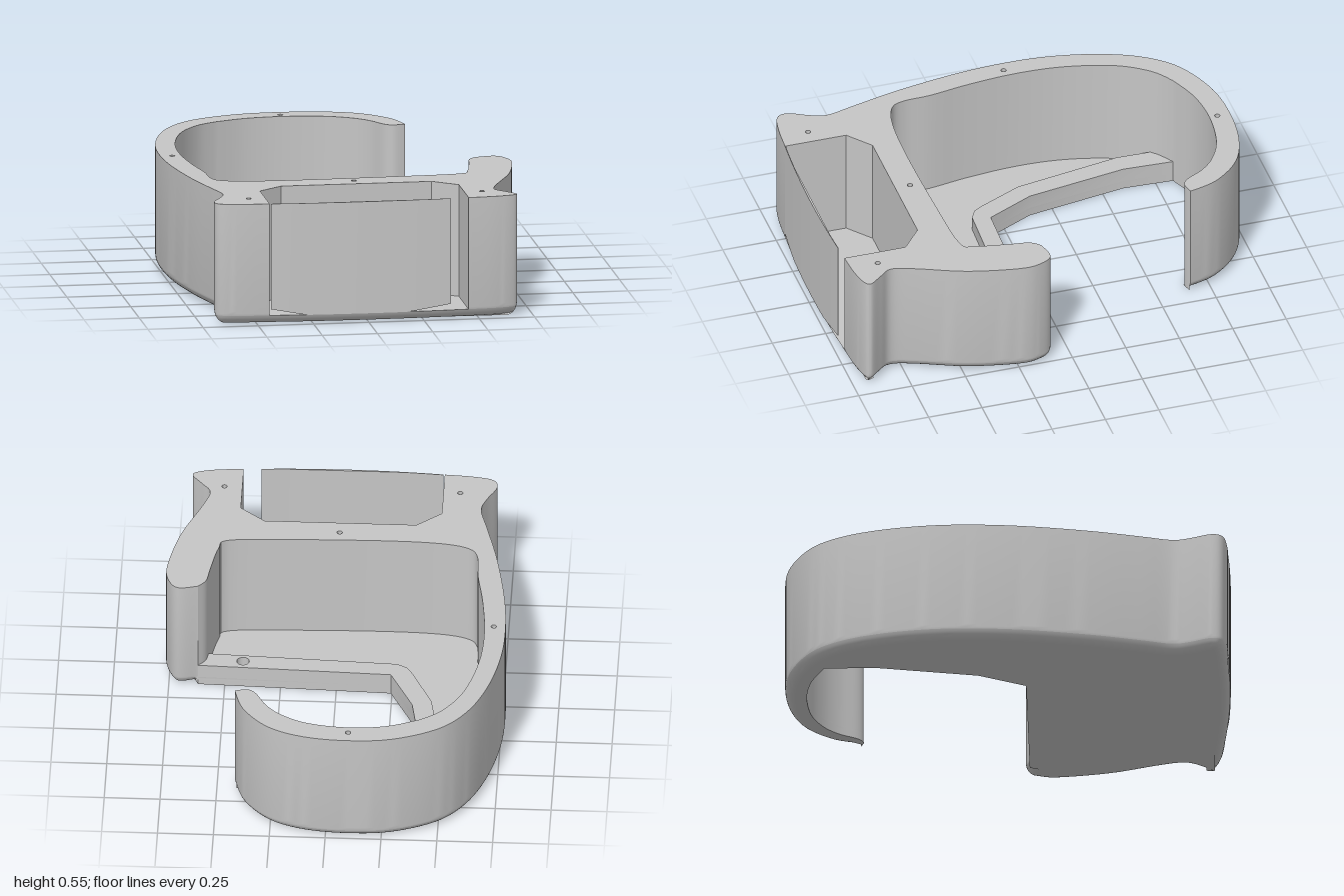
import * as THREE from 'three';
import { toCreasedNormals } from 'three/addons/utils/BufferGeometryUtils.js';

const HEIGHT = 0.55, FLOOR = 0.04, FILLET = 0.06;

// Plan points are given as x, z pairs and kept as (x, -z)
const plan = (...n) => {
  const out = [];
  for (let i = 0; i < n.length; i += 2) out.push(new THREE.Vector2(n[i], -n[i + 1]));
  return out;
};
const smooth = (pts, steps = 5) => new THREE.SplineCurve(pts).getPoints((pts.length - 1) * steps);
const circle = (x, z, r, n = 16) => Array.from({ length: n }, (_, i) => {
  const a = -i / n * Math.PI * 2;
  return new THREE.Vector2(x + r * Math.cos(a), -z + r * Math.sin(a));
});

// How far the rounded bottom edge is drawn in at height y
const draw = y => y >= FILLET ? 0 : FILLET - Math.sqrt(FILLET ** 2 - (FILLET - y) ** 2);

// Solid from a counterclockwise plan; points with an inward vector follow the fillet
function loft(points, levels, holes = []) {
  const pos = [];
  const rings = levels.map(y => points.map(p => {
    const d = p.inward ? draw(y) : 0;
    return new THREE.Vector3(p.x + (d ? p.inward.x * d : 0), p.y + (d ? p.inward.y * d : 0), y);
  }));
  const tri = (a, b, c) => pos.push(...a, ...b, ...c);
  for (let k = 0; k < rings.length - 1; k++) {
    points.forEach((_, i) => {
      const j = (i + 1) % points.length, lo = rings[k], hi = rings[k + 1];
      tri(lo[i], lo[j], hi[j]);
      tri(lo[i], hi[j], hi[i]);
    });
  }
  const cap = (ring, y, cut, up) => {
    const flat = ring.map(v => new THREE.Vector2(v.x, v.y));
    const all = [...flat, ...cut.flat()].map(v => new THREE.Vector3(v.x, v.y, y));
    for (const [a, b, c] of THREE.ShapeUtils.triangulateShape(flat, cut)) {
      const A = all[a], B = all[b], C = all[c];
      const ccw = (B.x - A.x) * (C.y - A.y) - (B.y - A.y) * (C.x - A.x) > 0;
      if (ccw === up) tri(A, B, C); else tri(A, C, B);
    }
  };
  cap(rings[0], levels[0], [], false);
  cap(rings.at(-1), levels.at(-1), holes, true);
  const geo = new THREE.BufferGeometry();
  geo.setAttribute('position', new THREE.Float32BufferAttribute(pos, 3));
  geo.rotateX(-Math.PI / 2);
  return toCreasedNormals(geo, 0.5);
}

export function createModel() {
  const group = new THREE.Group();
  const grey = new THREE.MeshStandardMaterial({ color: 0xc6c6c6, side: THREE.DoubleSide });
  grey.name = 'light grey plastic';
  const add = (name, geo) => {
    const mesh = new THREE.Mesh(geo, grey);
    mesh.name = name;
    group.add(mesh);
    return mesh;
  };

  // Outer outline: hook tip, round the back and right side, front, left side
  const hookSide = smooth(plan(0.42, -0.655, 0.375, -0.79, 0.26, -0.915, 0.1, -0.98, -0.1, -1,
    -0.3, -0.98, -0.5, -0.895, -0.62, -0.77, -0.7, -0.6, -0.75, -0.4, -0.768, -0.2, -0.757, 0.05,
    -0.71, 0.35, -0.655, 0.58, -0.62, 0.72, -0.64, 0.8, -0.683, 0.89, -0.665, 0.945, -0.57, 0.967,
    -0.445, 0.976));
  const front = smooth(plan(-0.445, 0.976, -0.25, 0.988, 0, 0.993, 0.25, 0.988, 0.455, 0.976)).slice(1, -1);
  const shortSide = smooth(plan(0.455, 0.976, 0.57, 0.967, 0.655, 0.948, 0.68, 0.92, 0.635, 0.86,
    0.597, 0.8, 0.63, 0.69, 0.715, 0.48, 0.764, 0.25, 0.755, 0.15, 0.71, 0.09, 0.62, 0.105));
  const outline = [...hookSide, ...front, ...shortSide];
  // Inward vectors shorten where the outline turns tightly
  outline.forEach((p, i) => {
    const span = outline.slice(Math.max(i - 4, 0), i + 5), a = span[0], b = span.at(-1);
    const length = span.slice(1).reduce((sum, q, k) => sum + q.distanceTo(span[k]), 0);
    p.inward = new THREE.Vector2(a.y - b.y, b.x - a.x).divideScalar(length);
  });
  outline.at(-1).inward = null;

  // Inner faces of the cavity and of the hook
  const cavity = smooth(plan(0.62, 0.105, 0.585, 0.15, 0.57, 0.24, 0.54, 0.39, 0.495, 0.45, 0.2, 0.468,
    -0.2, 0.477, -0.45, 0.468, -0.58, 0.435, -0.62, 0.37, -0.627, 0.24, -0.657, 0.05, -0.675, -0.18,
    -0.66, -0.4, -0.6, -0.62, -0.51, -0.76, -0.415, -0.83)).slice(1, -1);
  const hookInside = smooth(plan(-0.415, -0.83, -0.27, -0.885, -0.1, -0.903, 0.08, -0.88, 0.2, -0.825,
    0.275, -0.755, 0.325, -0.67, 0.365, -0.643, 0.42, -0.655)).slice(0, -1);
  const pocket = plan(-0.445, 0.69, -0.335, 0.6, 0.345, 0.6, 0.455, 0.69);
  const cutEdge = plan(-0.245, 0.075, -0.35, -0.14, -0.425, -0.6);

  // Floor with rounded outer edge
  add('base', loft([...outline, ...cutEdge, ...hookInside],
    [0, 0.002, 0.006, 0.012, 0.02, 0.03, FLOOR]));

  // Walls with the open front pocket and screw holes in the rim
  const screws = [[-0.1, -0.94], [-0.715, -0.13], [0.005, 0.53], [-0.52, 0.845], [0.535, 0.845]];
  add('walls', loft([...hookSide, ...pocket, ...shortSide, ...cavity, ...hookInside],
    [FLOOR, 0.05, FILLET, HEIGHT], screws.map(([x, z]) => circle(x, z, 0.012))));

  // Bored holes: open sleeve with a closed end
  const bore = (name, x, z, r, top, depth) => {
    add(name, new THREE.CylinderGeometry(r, r, depth, 16, 1, true)).position.set(x, top - depth / 2, z);
    const end = add(name + 'End', new THREE.CircleGeometry(r, 16));
    end.rotation.x = -Math.PI / 2;
    end.position.set(x, top - depth + 0.001, z);
  };
  screws.forEach(([x, z]) => bore('screwHole', x, z, 0.012, HEIGHT, 0.25));

  // Raised lip along the cut edge of the floor
  add('floorLip', loft([...plan(0.62, 0.105), ...cutEdge, ...plan(-0.415, -0.83, -0.515, -0.77,
    -0.52, -0.6, -0.435, -0.11, -0.34, 0.09, -0.315, 0.13, -0.27, 0.155, 0.6, 0.195)],
    [FLOOR, 0.105], [circle(0.42, 0.145, 0.028)]));
  bore('lipHole', 0.42, 0.145, 0.028, 0.105, 0.06);

  // Thin bowed front panel, its lower corners cut away by the fillet
  const panel = new THREE.BoxGeometry(0.815, 0.51, 0.01, 24, 1, 1);
  const p = panel.attributes.position;
  for (let i = 0; i < p.count; i++) {
    const x = p.getX(i) - 0.0325, bow = 0.993 - 0.085 * x * x;
    const rise = Math.max(0, (-0.28 - x) * 0.18, (x - 0.18) * 0.15);
    p.setXYZ(i, x, p.getY(i) > 0 ? HEIGHT : FLOOR + rise,
      p.getZ(i) > 0 ? bow : Math.min(bow - 0.003, 0.984));
  }
  add('frontPanel', toCreasedNormals(panel, 0.5));

  return group;
}
